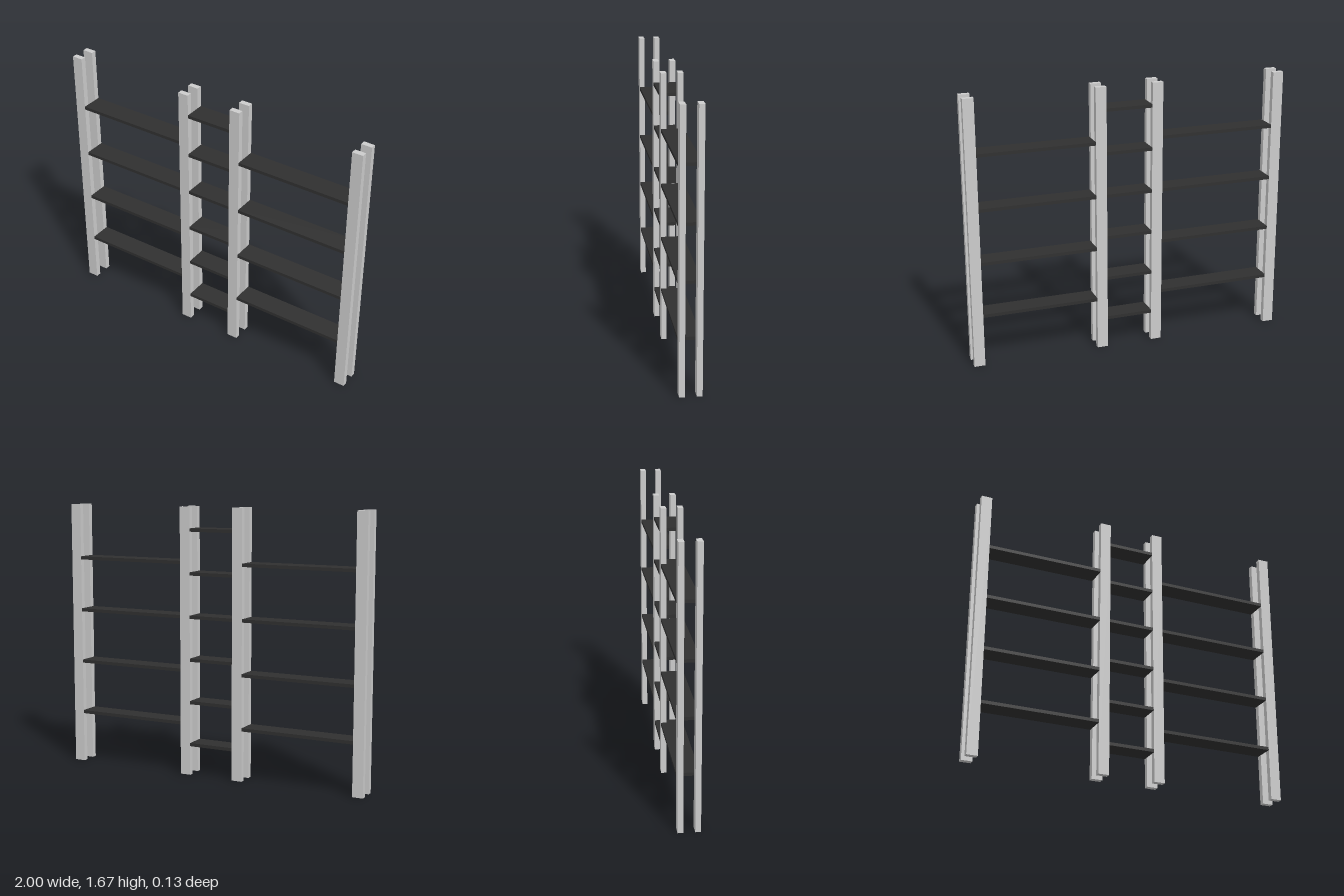
import * as THREE from 'three';

const HEIGHT = 1.67;
const POST_W = 0.067, POST_D = 0.033, DEPTH = 0.133;
const OUTER_X = 0.9665, INNER_X = 0.178; // post centres
const BOARD_T = 0.02;

export function createModel() {
  const model = new THREE.Group();
  model.name = 'shelvingUnit';
  const postMaterial = new THREE.MeshStandardMaterial({ color: 0xcccccc });
  const boardMaterial = new THREE.MeshStandardMaterial({ color: 0x303030 });

  const addBox = (name, material, size, position) => {
    const mesh = new THREE.Mesh(new THREE.BoxGeometry(...size), material);
    mesh.name = name;
    mesh.position.set(...position);
    model.add(mesh);
  };

  // Four pairs of upright posts, front and back
  for (const x of [-OUTER_X, -INNER_X, INNER_X, OUTER_X]) {
    for (const side of [1, -1]) {
      addBox(side > 0 ? 'frontPost' : 'backPost', postMaterial,
        [POST_W, HEIGHT, POST_D], [x, HEIGHT / 2, side * (DEPTH - POST_D) / 2]);
    }
  }

  // Four wide shelves in each side bay
  const sideWidth = OUTER_X - INNER_X - POST_W;
  const sideX = (OUTER_X + INNER_X) / 2;
  for (let i = 0; i < 4; i++) {
    const y = 0.326 + i * 0.3345;
    addBox('leftShelf', boardMaterial, [sideWidth, BOARD_T, DEPTH], [sideX, y, 0]);
    addBox('rightShelf', boardMaterial, [sideWidth, BOARD_T, DEPTH], [-sideX, y, 0]);
  }

  // Six narrow shelves in the centre bay
  for (let i = 0; i < 6; i++) {
    addBox('centreShelf', boardMaterial,
      [2 * INNER_X - POST_W, BOARD_T, DEPTH], [0, 0.194 + i * 0.267, 0]);
  }

  return model;
}
